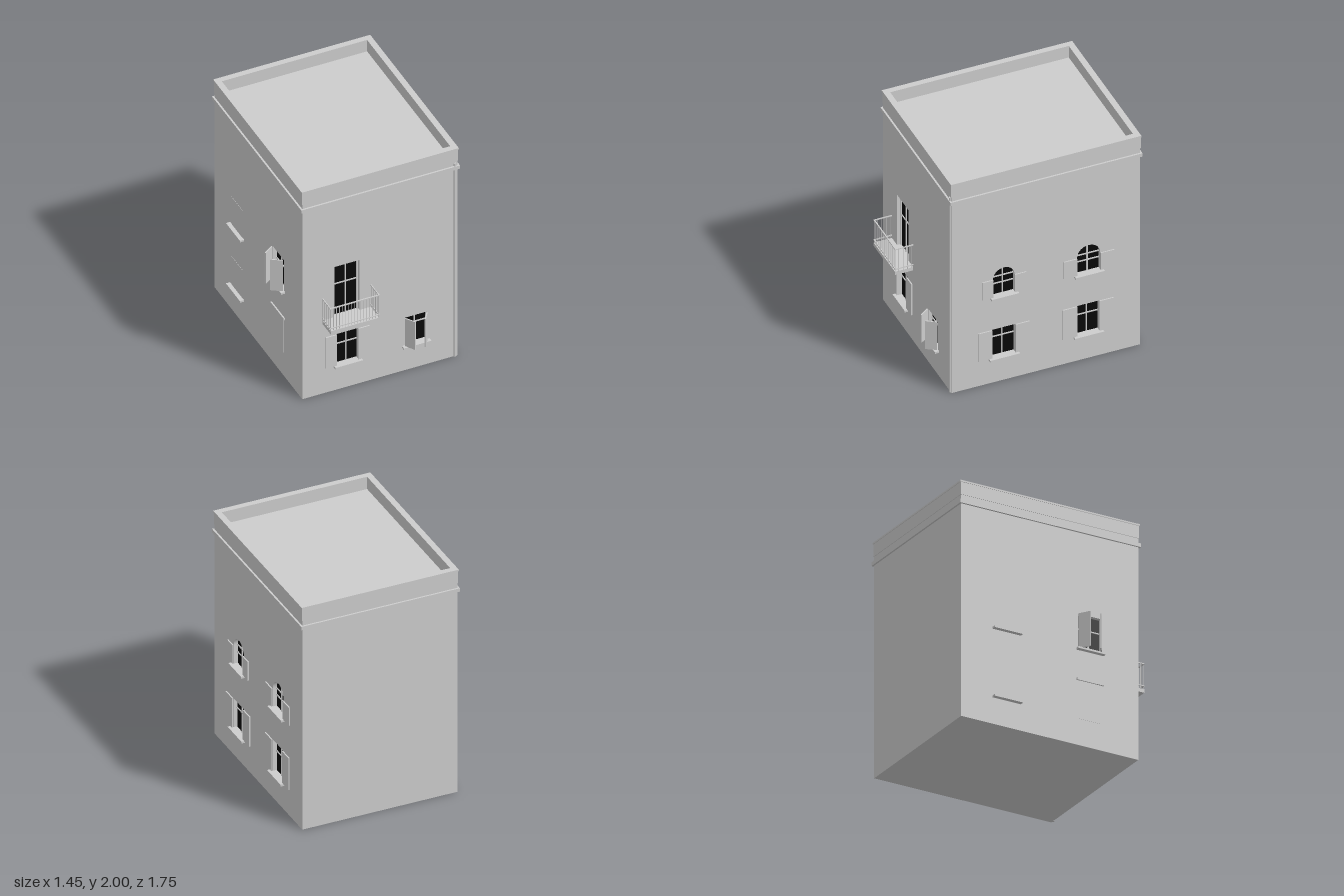
import * as THREE from 'three';

const plaster = new THREE.MeshStandardMaterial({ color: 0xcccccc });
plaster.name = 'plaster';
const glass = new THREE.MeshStandardMaterial({ color: 0x080808 });
glass.name = 'dark glass';

const X0 = -0.635, X1 = 0.685, Z0 = -0.86, Z1 = 0.722, WALL = 0.04, TOP = 1.89;

function add(parent, name, geo, mat = plaster) {
  const m = new THREE.Mesh(geo, mat);
  m.name = name;
  parent.add(m);
  return m;
}

// Box given by its minimum and maximum corners
function box(parent, name, x0, x1, y0, y1, z0, z1, mat) {
  const m = add(parent, name, new THREE.BoxGeometry(x1 - x0, y1 - y0, z1 - z0), mat);
  m.position.set((x0 + x1) / 2, (y0 + y1) / 2, (z0 + z1) / 2);
  return m;
}

// Outline of an opening: rectangle, or rectangle with a round head
function outline(w, Type) {
  const p = new Type();
  p.moveTo(w.u0, w.y0);
  p.lineTo(w.u1, w.y0);
  p.lineTo(w.u1, w.y1);
  if (w.arch) {
    const r = (w.u1 - w.u0) / 2;
    p.absarc(w.u0 + r, w.y1, r, 0, Math.PI, false);
  } else p.lineTo(w.u0, w.y1);
  p.closePath();
  return p;
}

// Shutter hinged at u; angle 0 is closed, PI is folded back on the wall
function shutter(parent, u, side, y0, y1, width, angle) {
  const pivot = new THREE.Group();
  pivot.name = 'shutter';
  pivot.position.set(u, 0, 0.007);
  pivot.rotation.y = side < 0 ? -angle : -(Math.PI - angle);
  box(pivot, 'shutterLeaf', 0, width, y0, y1, -0.005, 0.005);
  parent.add(pivot);
}

function windowUnit(parent, w) {
  const g = new THREE.Group();
  g.name = 'window';
  parent.add(g);
  const mid = (w.u0 + w.u1) / 2, top = w.arch ? w.y1 + (w.u1 - w.u0) / 2 : w.y1;
  const pane = add(g, 'glass', new THREE.ShapeGeometry(outline(w, THREE.Shape), 16), glass);
  pane.position.z = -0.034;
  box(g, 'mullion', mid - 0.005, mid + 0.005, w.y0, top - 0.003, -0.036, -0.026);
  for (const y of w.bars) box(g, 'glazingBar', w.u0, w.u1, y - 0.005, y + 0.005, -0.036, -0.027);
  if (w.frame) {
    for (const u of [w.u0, w.u1 - w.frame]) box(g, 'frame', u, u + w.frame, w.y0, w.y1, -0.036, -0.024);
    box(g, 'frame', w.u0, w.u1, w.y1 - 0.008, w.y1, -0.036, -0.024);
  }
  if (w.sill) box(g, 'sill', mid - w.sill / 2, mid + w.sill / 2, w.y0 - 0.014, w.y0 + 0.002, -0.03, 0.036);
  if (w.shut) {
    const a = w.angle ?? Math.PI;
    shutter(g, w.u0, -1, w.y0, w.shutTop ?? w.y1, w.shut, a);
    shutter(g, w.u1, 1, w.y0, w.shutTop ?? w.y1, w.shut, a);
  }
}

// Facade in its own frame: x along the wall, y up, z outward
function facade(root, name, u0, u1, windows) {
  const g = new THREE.Group();
  g.name = name;
  root.add(g);
  const s = new THREE.Shape([[u0, 0], [u1, 0], [u1, TOP], [u0, TOP]].map(([x, y]) => new THREE.Vector2(x, y)));
  windows.forEach(w => s.holes.push(outline(w, THREE.Path)));
  const wall = add(g, 'wall', new THREE.ExtrudeGeometry(s, { depth: WALL, bevelEnabled: false, curveSegments: 16 }));
  wall.position.z = -WALL;
  windows.forEach(w => windowUnit(g, w));
  return g;
}

// Rectangular ring around the house
function ring(root, name, grow, thick, y0, y1) {
  const rect = (T, d) => new T([[X0 - d, -Z1 - d], [X1 + d, -Z1 - d], [X1 + d, -Z0 + d], [X0 - d, -Z0 + d]]
    .map(([x, y]) => new THREE.Vector2(x, y)));
  const s = rect(THREE.Shape, grow);
  s.holes.push(rect(THREE.Path, grow - thick));
  const geo = new THREE.ExtrudeGeometry(s, { depth: y1 - y0, bevelEnabled: false });
  geo.rotateX(-Math.PI / 2);
  add(root, name, geo).position.y = y0;
}

function balcony(root) {
  const g = new THREE.Group();
  g.name = 'balcony';
  root.add(g);
  const a = -0.465, b = -0.053, front = 0.872, r = 0.0025;
  box(g, 'balconySlab', a, b, 0.674, 0.705, Z1 - 0.01, 0.875);
  const bar = new THREE.CylinderGeometry(r, r, 0.22, 6);
  const post = (x, z) => add(g, 'baluster', bar).position.set(x, 0.81, z);
  const n = 16;
  for (let i = 0; i <= n; i++) post(a + (b - a) * i / n, front - r);
  for (const x of [a, b]) for (let i = 0; i < 4; i++) post(x, Z1 + 0.012 + i * 0.036);
  for (const y of [0.73, 0.918]) {
    box(g, 'frontRail', a - 0.005, b + 0.005, y - 0.004, y + 0.004, front - 0.007, front + 0.003);
    for (const x of [a, b]) box(g, 'sideRail', x - 0.004, x + 0.004, y - 0.004, y + 0.004, Z1 - 0.005, front);
  }
}

export function createModel() {
  const root = new THREE.Group();
  root.name = 'house';

  // Solid core behind the pierced walls; its top is the roof deck
  box(root, 'core', X0 + WALL, X1 - WALL, 0, TOP, Z0, Z1 - WALL);

  facade(root, 'frontFacade', X0, X1, [
    { u0: -0.365, u1: -0.148, y0: 0.705, y1: 1.187, bars: [1.0], frame: 0.015 },
    { u0: -0.344, u1: -0.16, y0: 0.238, y1: 0.535, bars: [0.42], sill: 0.235, shut: 0.094 },
    { u0: 0.237, u1: 0.423, y0: 0.238, y1: 0.505, bars: [0.42], sill: 0.235, shut: 0.092, angle: 0.98 },
  ]).position.z = Z1;

  const right = facade(root, 'rightFacade', -(Z1 - WALL), -Z0, [
    { u0: -0.384, u1: -0.188, y0: 0.238, y1: 0.505, bars: [0.415], sill: 0.25, shut: 0.117 },
    { u0: 0.33, u1: 0.516, y0: 0.238, y1: 0.522, bars: [0.415], sill: 0.245, shut: 0.121 },
    { u0: -0.373, u1: -0.193, y0: 0.817, y1: 0.985, bars: [0.92, 0.985], sill: 0.23, shut: 0.095, arch: true },
    { u0: 0.33, u1: 0.526, y0: 0.817, y1: 0.98, bars: [0.92, 0.98], sill: 0.245, shut: 0.116, arch: true },
  ]);
  right.position.x = X1;
  right.rotation.y = Math.PI / 2;

  const left = facade(root, 'leftFacade', Z0, Z1 - WALL, [
    { u0: 0.19, u1: 0.39, y0: 0.82, y1: 1.115, bars: [1.0], sill: 0.243, shut: 0.1, angle: 0.98 },
  ]);
  left.position.x = X0;
  left.rotation.y = -Math.PI / 2;

  // Closed windows on the left wall
  for (const [u, y0, y1] of [[-0.453, 0.238, 0.51], [-0.453, 0.82, 1.085], [0.29, 0.225, 0.55]]) {
    for (const s of [-1, 1]) box(left, 'closedShutter', u + s * 0.05 - 0.049, u + s * 0.05 + 0.049, y0, y1, -0.004, 0.002);
    if (u < 0) box(left, 'sill', u - 0.126, u + 0.126, y0 - 0.014, y0 + 0.002, -0.01, 0.036);
    else box(left, 'lintel', u - 0.12, u + 0.12, y1, y1 + 0.018, -0.01, 0.012);
  }

  // Cornice, parapet and coping
  ring(root, 'cornice', 0.015, 0.03, 1.804, 1.835);
  ring(root, 'parapet', 0.004, 0.046, 1.88, 1.988);
  ring(root, 'coping', 0.008, 0.05, 1.986, 2.0);

  balcony(root);

  // Rainwater pipe at the front corner
  const pipe = add(root, 'drainpipe', new THREE.CylinderGeometry(0.011, 0.011, 1.862, 12));
  pipe.position.set(0.662, 0.931, Z1 + 0.001);

  return root;
}
